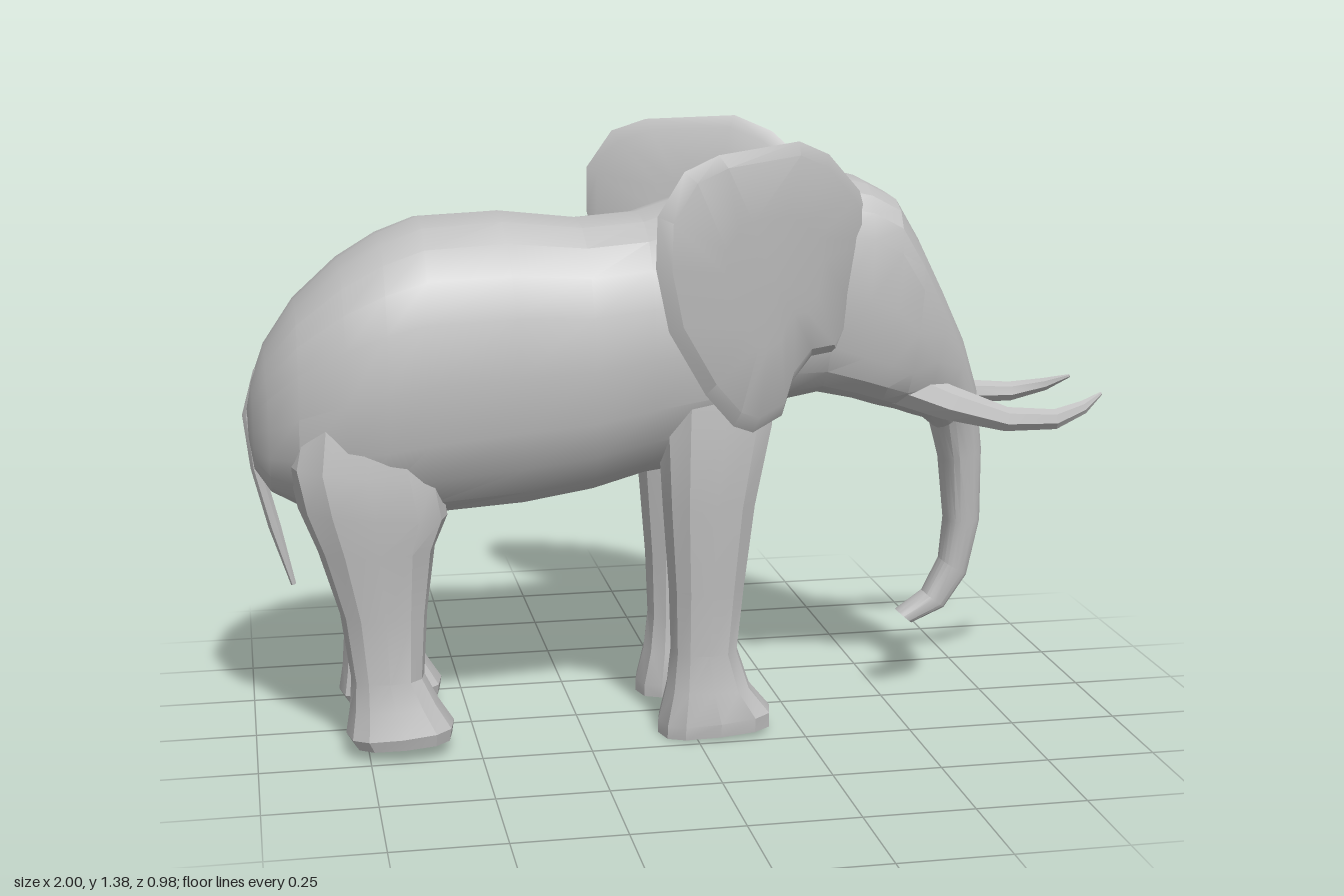
import * as THREE from 'three';
import { toCreasedNormals } from 'three/addons/utils/BufferGeometryUtils.js';

const greyHide = new THREE.MeshStandardMaterial({ color: 0xc0c0c0 });
greyHide.name = 'grey hide';

// Closed skin over a list of rings (arrays of [x, y, z]); faces always turned outwards.
function skin(name, rings, crease = 0.4) {
  const n = rings[0].length, pts = rings.flat(), idx = [];
  for (let r = 0; r < rings.length - 1; r++) {
    for (let i = 0; i < n; i++) {
      const a = r * n + i, b = r * n + (i + 1) % n;
      idx.push(a, b, a + n, b, b + n, a + n);
    }
  }
  const cap = (ring, start, flip) => {
    const c = [0, 1, 2].map((k) => ring.reduce((sum, p) => sum + p[k], 0) / n);
    const m = pts.push(c) - 1;
    for (let i = 0; i < n; i++) {
      const a = start + i, b = start + (i + 1) % n;
      idx.push(m, flip ? b : a, flip ? a : b);
    }
  };
  cap(rings[0], 0, true);
  cap(rings[rings.length - 1], (rings.length - 1) * n, false);

  // signed volume decides the winding
  let volume = 0;
  const v = pts.map((p) => new THREE.Vector3(...p));
  for (let i = 0; i < idx.length; i += 3) {
    volume += v[idx[i]].dot(v[idx[i + 1]].clone().cross(v[idx[i + 2]]));
  }
  if (volume < 0) idx.reverse();

  const geo = new THREE.BufferGeometry();
  geo.setAttribute('position', new THREE.Float32BufferAttribute(pts.flat(), 3));
  geo.setIndex(idx);
  const mesh = new THREE.Mesh(toCreasedNormals(geo, crease), greyHide);
  mesh.name = name;
  return mesh;
}

// Section: [x1, y1, x2, y2, halfWidth, zCentre, power]: a rounded ring spanning both
// points; a lower power makes it boxier.
function loft(name, sections, sides, side = 1) {
  return skin(name, sections.map(([x1, y1, x2, y2, w, zc = 0, power = 0.82]) =>
    Array.from({ length: sides }, (_, i) => {
      const soft = (t) => Math.sign(t) * Math.abs(t) ** power;
      const a = (i / sides) * Math.PI * 2, c = soft(Math.cos(a)), s = soft(Math.sin(a));
      return [
        (x1 + x2) / 2 + c * (x1 - x2) / 2,
        (y1 + y2) / 2 + c * (y1 - y2) / 2,
        side * (zc + s * w),
      ];
    })));
}

// Tapered horn or tail; path entries are [x, y, z, radius].
function taper(name, path, sides, side = 1) {
  return loft(name, path.map(([x, y, z, r], i) => {
    const a = path[Math.max(i - 1, 0)], b = path[Math.min(i + 1, path.length - 1)];
    const d = new THREE.Vector2(b[0] - a[0], b[1] - a[1]).normalize().multiplyScalar(r);
    return [x - d.y, y + d.x, x + d.y, y - d.x, r, z, 1];
  }), sides, side);
}

// Rump, barrel, head and trunk as one run of sections.
const torso = [
  [-0.992, 0.78, -0.99, 0.71, 0.03],
  [-0.98, 0.84, -0.98, 0.64, 0.085],
  [-0.95, 0.92, -0.945, 0.59, 0.15, 0, 0.78],
  [-0.88, 1.02, -0.885, 0.56, 0.215, 0, 0.75],
  [-0.78, 1.11, -0.78, 0.54, 0.257, 0, 0.75],
  [-0.69, 1.165, -0.69, 0.53, 0.272, 0, 0.76],
  [-0.6, 1.2, -0.6, 0.53, 0.275, 0, 0.78],
  [-0.42, 1.21, -0.38, 0.54, 0.257],
  [-0.24, 1.19, -0.22, 0.565, 0.245],
  [-0.1, 1.2, -0.1, 0.6, 0.253],
  [0.02, 1.24, 0.04, 0.62, 0.272],
  [0.12, 1.285, 0.15, 0.66, 0.25],
  [0.21, 1.315, 0.22, 0.76, 0.235, 0, 0.72],
  [0.32, 1.295, 0.3, 0.78, 0.23, 0, 0.6],
  [0.41, 1.272, 0.38, 0.765, 0.232, 0, 0.54],
  [0.48, 1.235, 0.44, 0.745, 0.226, 0, 0.56],
  [0.54, 1.14, 0.49, 0.73, 0.212, 0, 0.65],
  [0.61, 1.01, 0.54, 0.71, 0.175, 0, 0.75],
  [0.67, 0.89, 0.585, 0.695, 0.13],
  [0.71, 0.77, 0.615, 0.67, 0.092],
  [0.73, 0.62, 0.635, 0.59, 0.07],
  [0.733, 0.44, 0.65, 0.44, 0.053],
  [0.705, 0.3, 0.64, 0.34, 0.041],
  [0.65, 0.22, 0.6, 0.26, 0.037],
  [0.57, 0.185, 0.535, 0.215, 0.03],
];

const foreleg = [
  [-0.05, 0.98, 0.13, 0.98, 0.08, 0.16],
  [-0.08, 0.72, 0.185, 0.74, 0.105, 0.16],
  [-0.07, 0.55, 0.145, 0.55, 0.095, 0.16],
  [-0.055, 0.35, 0.12, 0.35, 0.085, 0.155],
  [-0.05, 0.2, 0.105, 0.2, 0.076, 0.152],
  [-0.06, 0.11, 0.135, 0.11, 0.08, 0.152, 0.75],
  [-0.08, 0.03, 0.185, 0.05, 0.09, 0.153, 0.7],
  [-0.08, 0, 0.185, 0.015, 0.085, 0.153, 0.7],
];

const hindLeg = [
  [-0.87, 0.85, -0.63, 0.82, 0.08, 0.15],
  [-0.91, 0.68, -0.575, 0.64, 0.105, 0.158],
  [-0.89, 0.58, -0.56, 0.55, 0.1, 0.16],
  [-0.85, 0.48, -0.59, 0.48, 0.092, 0.16],
  [-0.805, 0.33, -0.61, 0.33, 0.082, 0.155],
  [-0.785, 0.18, -0.62, 0.18, 0.077, 0.155],
  [-0.79, 0.11, -0.59, 0.12, 0.085, 0.157, 0.75],
  [-0.8, 0.05, -0.555, 0.065, 0.1, 0.157, 0.7],
  [-0.785, 0.025, -0.56, 0.035, 0.092, 0.157, 0.7],
];

// Ear outline in x, y.
const earOutline = [
  [0.2, 1.385], [0.0, 1.37], [-0.08, 1.34], [-0.14, 1.25], [-0.142, 1.14], [-0.11, 1.0],
  [-0.02, 0.85], [0.05, 0.77], [0.1, 0.748], [0.175, 0.775], [0.2, 0.85], [0.25, 0.9],
  [0.32, 0.9], [0.38, 0.98], [0.41, 1.15], [0.37, 1.26], [0.28, 1.35],
];

// Curved flap: flares outwards to the rear and tucks in at the bottom.
function ear(side) {
  const flare = (x, y) => {
    const t = (0.4 - x) / 0.54;
    return 0.19 + 0.41 * t - 0.105 * t * t - 0.08 * (1.38 - y);
  };
  const rings = [[0.45, 0.024], [0.9, 0.016], [1, 0], [0.9, -0.016], [0.45, -0.024]];
  return skin('ear', rings.map(([scale, offset]) => earOutline.map(([x, y]) => {
    const px = 0.13 + (x - 0.13) * scale, py = 1.1 + (y - 1.1) * scale;
    return [px + offset * 0.4, py, side * (flare(px, py) + offset)];
  })), 0.5);
}

export function createModel() {
  const model = new THREE.Group();
  model.name = 'elephant';
  model.add(loft('bodyHeadAndTrunk', torso, 20));
  model.add(taper('tail', [
    [-0.955, 0.86, 0, 0.02], [-0.985, 0.76, 0, 0.018], [-0.975, 0.64, 0, 0.014],
    [-0.94, 0.5, 0, 0.014], [-0.902, 0.36, 0, 0.006],
  ], 6));

  for (const side of [1, -1]) {
    model.add(loft('foreleg', foreleg, 12, side));
    model.add(loft('hindLeg', hindLeg, 12, side));
    model.add(ear(side));
    model.add(taper('tusk', [
      [0.48, 0.805, 0.13, 0.05], [0.6, 0.757, 0.145, 0.042], [0.74, 0.715, 0.165, 0.029],
      [0.86, 0.71, 0.165, 0.024], [0.94, 0.73, 0.138, 0.016], [0.995, 0.755, 0.108, 0.004],
    ], 7, side));
  }
  return model;
}
